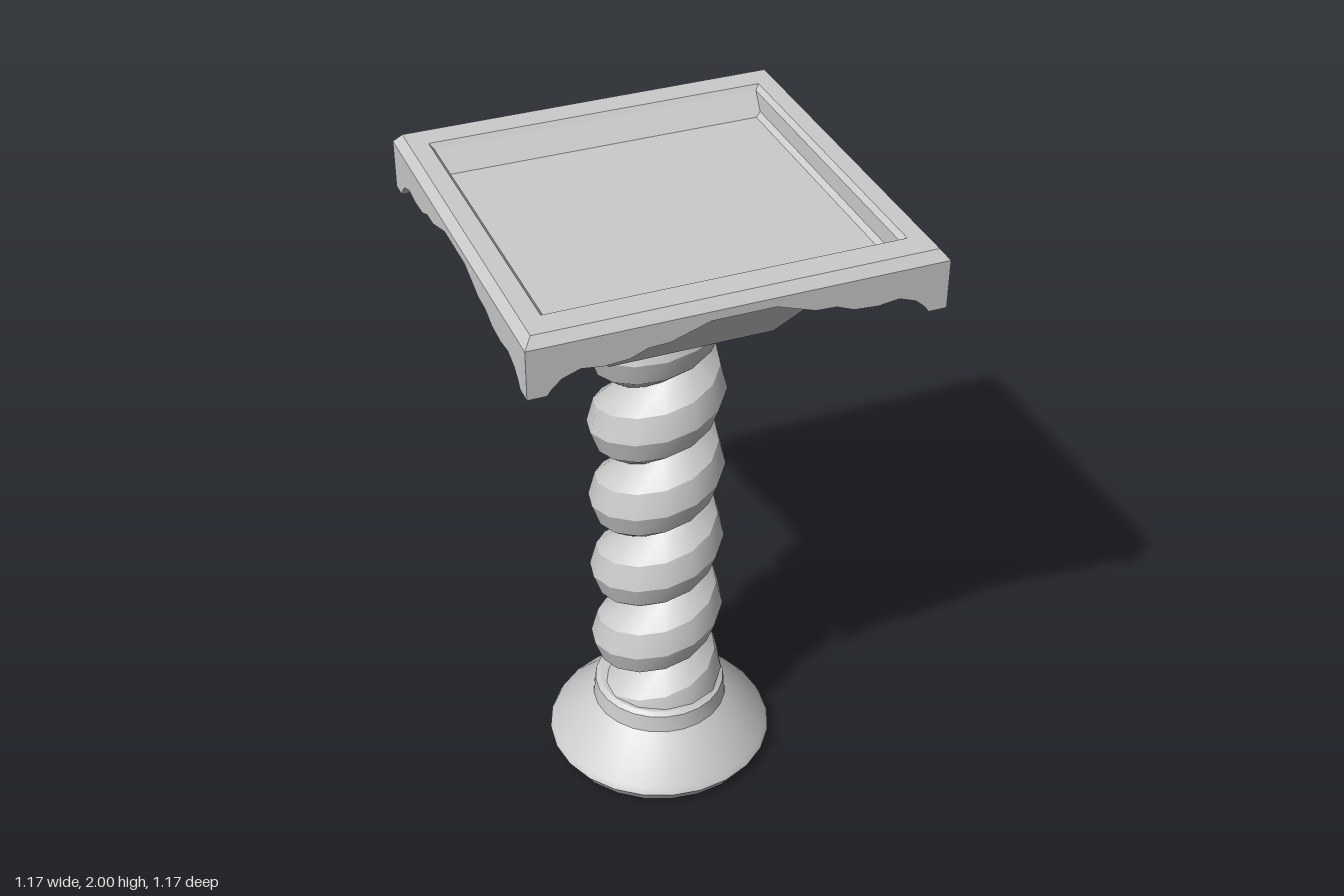
import * as THREE from 'three';
import { mergeGeometries, toCreasedNormals } from 'three/addons/utils/BufferGeometryUtils.js';

const smooth = new THREE.MeshStandardMaterial({ color: 0xcccccc, side: THREE.DoubleSide });
const faceted = new THREE.MeshStandardMaterial({ color: 0xcccccc, side: THREE.DoubleSide, flatShading: true });

function part(name, geometry, material) {
  const mesh = new THREE.Mesh(geometry, material);
  mesh.name = name;
  return mesh;
}

// Skin rectangles given as [half width, height, half depth]
function rectangleLoft(sections) {
  const corners = [[1, 1], [1, -1], [-1, -1], [-1, 1]];
  const positions = [];
  const push = ([w, y, d = w], k) => positions.push(w * corners[k % 4][0], y, d * corners[k % 4][1]);
  for (let i = 0; i < sections.length - 1; i++) {
    const low = sections[i], high = sections[i + 1];
    for (let k = 0; k < 4; k++) {
      push(low, k); push(low, k + 1); push(high, k + 1);
      push(low, k); push(high, k + 1); push(high, k);
    }
  }
  const geometry = new THREE.BufferGeometry();
  geometry.setAttribute('position', new THREE.Float32BufferAttribute(positions, 3));
  geometry.computeVertexNormals();
  return geometry;
}

// A rounded lobe screwed up the axis: one strip per profile edge, smooth along its length
function screwGeometry() {
  const pitch = 0.271, perTurn = 14, yPeak = 0.295, yMin = 0.13, yMax = 1.68;
  const lobe = [[0.118, -0.5], [0.18, -0.32], [0.207, -0.04], [0.186, 0.26], [0.118, 0.5]];
  const first = -2 * perTurn, last = 6 * perTurn;
  const strips = [];
  for (let j = 0; j < lobe.length - 1; j++) {
    const positions = [], index = [];
    for (let i = first; i <= last; i++) {
      const t = i / perTurn * Math.PI * 2;
      for (const [r, rise] of [lobe[j], lobe[j + 1]]) {
        const y = yPeak + pitch * (i / perTurn + rise);
        positions.push(r * Math.cos(t), THREE.MathUtils.clamp(y, yMin, yMax), -r * Math.sin(t));
      }
      const a = (i - first) * 2;
      if (i < last) index.push(a, a + 2, a + 3, a, a + 3, a + 1);
    }
    const strip = new THREE.BufferGeometry();
    strip.setAttribute('position', new THREE.Float32BufferAttribute(positions, 3));
    strip.setIndex(index);
    strip.computeVertexNormals();
    strips.push(strip);
  }
  return mergeGeometries(strips);
}

// Scalloped board that hangs below one edge of the tray
function apronGeometry() {
  const half = [
    [0.583, 1.828], [0.53, 1.828], [0.515, 1.848], [0.49, 1.87], [0.44, 1.888], [0.38, 1.88],
    [0.31, 1.885], [0.26, 1.905], [0.2, 1.908], [0.09, 1.945],
  ];
  const points = [
    [0.583, 1.97], ...half,
    ...half.slice().reverse().map(([x, y]) => [-x, y]), [-0.583, 1.97],
  ];
  const shape = new THREE.Shape(points.map(([x, y]) => new THREE.Vector2(x, y)));
  const geometry = new THREE.ExtrudeGeometry(shape, { depth: 0.035, bevelEnabled: false });
  return geometry.translate(0, 0, 0.548);
}

export function createModel() {
  const model = new THREE.Group();
  model.name = 'pedestal';

  // Hollow flared foot
  const footProfile = [
    [0.33, 0], [0.355, 0.04], [0.345, 0.06], [0.222, 0.17], [0.212, 0.178], [0.205, 0.235], [0.19, 0.245], [0.11, 0.245],
  ].map(([r, y]) => new THREE.Vector2(r, y));
  model.add(part('foot', toCreasedNormals(new THREE.LatheGeometry(footProfile, 24), 0.45), smooth));

  // Twisted shaft, slightly off centre, with its lower end closed
  const shaft = new THREE.Group();
  shaft.name = 'twistedShaft';
  shaft.position.set(-0.003, 0, -0.016);
  shaft.add(part('shaftCoil', screwGeometry(), smooth));
  const end = part('shaftEnd', new THREE.CircleGeometry(0.13, 14), smooth);
  end.rotation.x = Math.PI / 2;
  end.position.y = 0.129;
  shaft.add(end);
  model.add(shaft);

  // Capital, flaring out under the tray
  model.add(part('capital', rectangleLoft([
    [0, 1.62], [0.222, 1.62], [0.243, 1.632], [0.41, 1.88], [0.51, 1.95],
  ]), faceted));

  // Tray with chamfered rim and sunken floor
  model.add(part('tray', rectangleLoft([
    [0.51, 1.95], [0.583, 1.95], [0.583, 1.972], [0.56, 2],
    [0.506, 2, 0.481], [0.493, 1.985, 0.47], [0.49, 1.925, 0.42], [0, 1.925, 0],
  ]), faceted));

  // Four matching aprons
  const apron = apronGeometry();
  for (let i = 0; i < 4; i++) {
    const board = part('apron', apron, faceted);
    board.rotation.y = i * Math.PI / 2;
    model.add(board);
  }

  return model;
}
